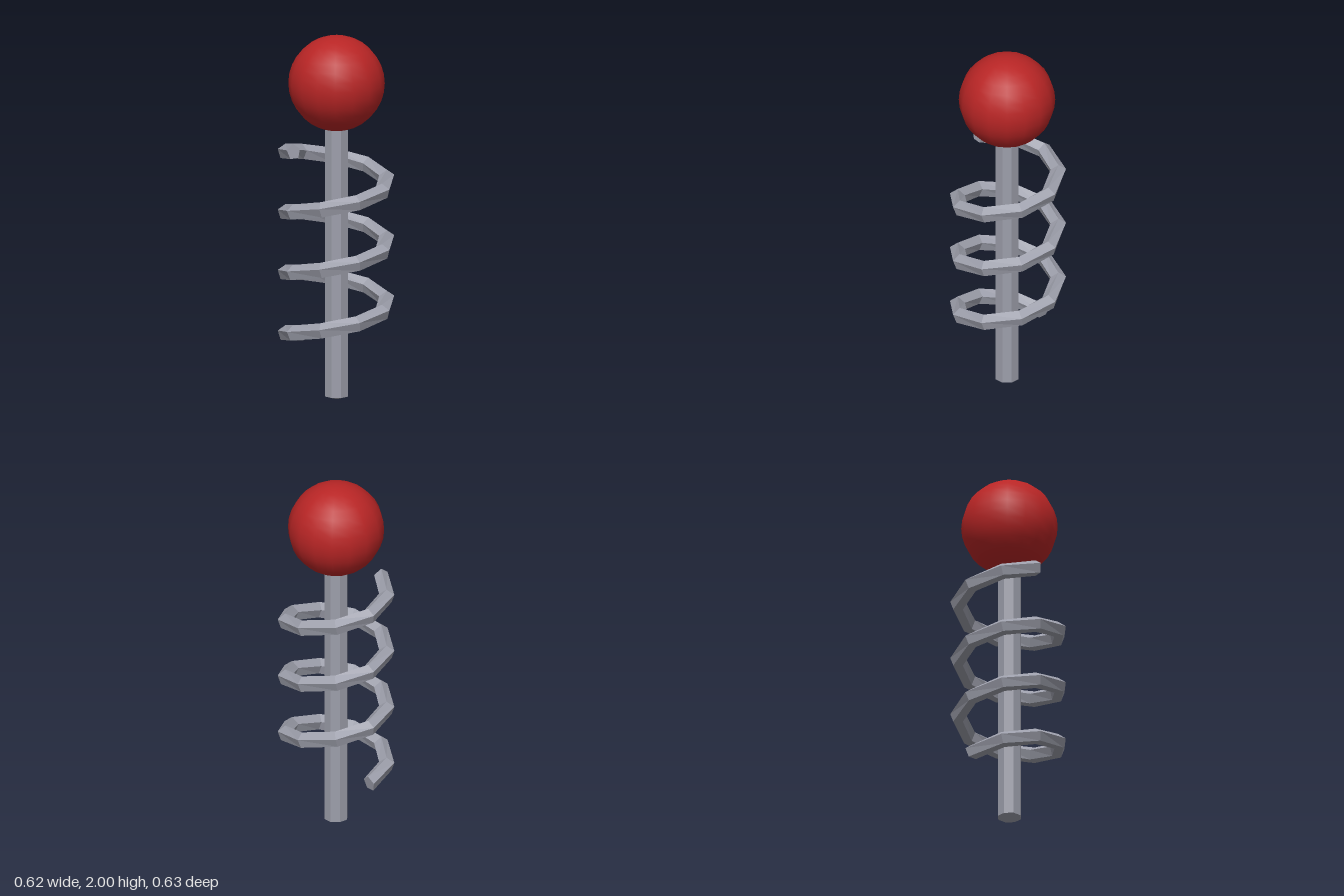
import * as THREE from 'three';

const CENTER_X = 0.007;

// Faceted normals without touching the material
function facet(geometry) {
  const flat = geometry.index ? geometry.toNonIndexed() : geometry;
  flat.computeVertexNormals();
  return flat;
}

// Helical bar: five-sided section swept in straight segments, nine per turn
function coilGeometry() {
  const R = 0.277, r = 0.044, sides = 5, segments = 29, step = Math.PI * 2 / 9;
  const y0 = 0.32, pitch = 0.333;
  const slope = Math.atan(pitch / (Math.PI * 2 * R));
  const pos = [], index = [];
  for (let i = 0; i <= segments; i++) {
    const a = Math.PI - i * step;
    const out = new THREE.Vector3(Math.cos(a), 0, Math.sin(a));
    const along = new THREE.Vector3(Math.sin(a), 0, -Math.cos(a));
    const up = new THREE.Vector3(0, Math.cos(slope), 0).addScaledVector(along, -Math.sin(slope));
    const c = out.clone().multiplyScalar(R).setY(y0 + pitch * i / 9);
    for (let j = 0; j < sides; j++) {
      const t = Math.PI / 2 + j * Math.PI * 2 / sides;
      const p = c.clone().addScaledVector(out, r * Math.cos(t)).addScaledVector(up, r * Math.sin(t));
      pos.push(p.x, p.y, p.z);
    }
  }
  for (let i = 0; i < segments; i++) {
    for (let j = 0; j < sides; j++) {
      const k = (j + 1) % sides;
      const a = i * sides + j, b = i * sides + k, c = a + sides, d = b + sides;
      index.push(a, b, c, b, d, c);
    }
  }
  // End caps
  const e = segments * sides;
  for (let j = 1; j < sides - 1; j++) {
    index.push(0, j + 1, j, e, e + j, e + j + 1);
  }
  const g = new THREE.BufferGeometry();
  g.setAttribute('position', new THREE.Float32BufferAttribute(pos, 3));
  g.setIndex(index);
  // Make sure the faces point outward (signed volume must be positive)
  const v = (n) => new THREE.Vector3().fromArray(pos, n * 3);
  let volume = 0;
  for (let n = 0; n < index.length; n += 3) {
    volume += v(index[n]).dot(v(index[n + 1]).cross(v(index[n + 2])));
  }
  if (volume < 0) g.setIndex(index.reverse());
  return facet(g);
}

export function createModel() {
  const group = new THREE.Group();
  const metal = new THREE.MeshStandardMaterial({ color: 0x9c9eaa });
  metal.name = 'grey metal';
  const red = new THREE.MeshStandardMaterial({ color: 0xb82525 });
  red.name = 'red';

  const add = (name, geometry, material, y = 0) => {
    const mesh = new THREE.Mesh(geometry, material);
    mesh.name = name;
    mesh.position.set(CENTER_X, y, 0);
    group.add(mesh);
    return mesh;
  };

  // Eight-sided rod with a blunt tip
  const profile = [[0, 0], [0.066, 0.02], [0.066, 1.6], [0, 1.6]].map(([x, y]) => new THREE.Vector2(x, y));
  add('rod', facet(new THREE.LatheGeometry(profile, 8, Math.PI / 8)), metal);

  // Spring around the rod
  add('spring', coilGeometry(), metal);

  // Smooth round knob
  add('knob', new THREE.SphereGeometry(0.26, 16, 16), red, 1.74);

  return group;
}
